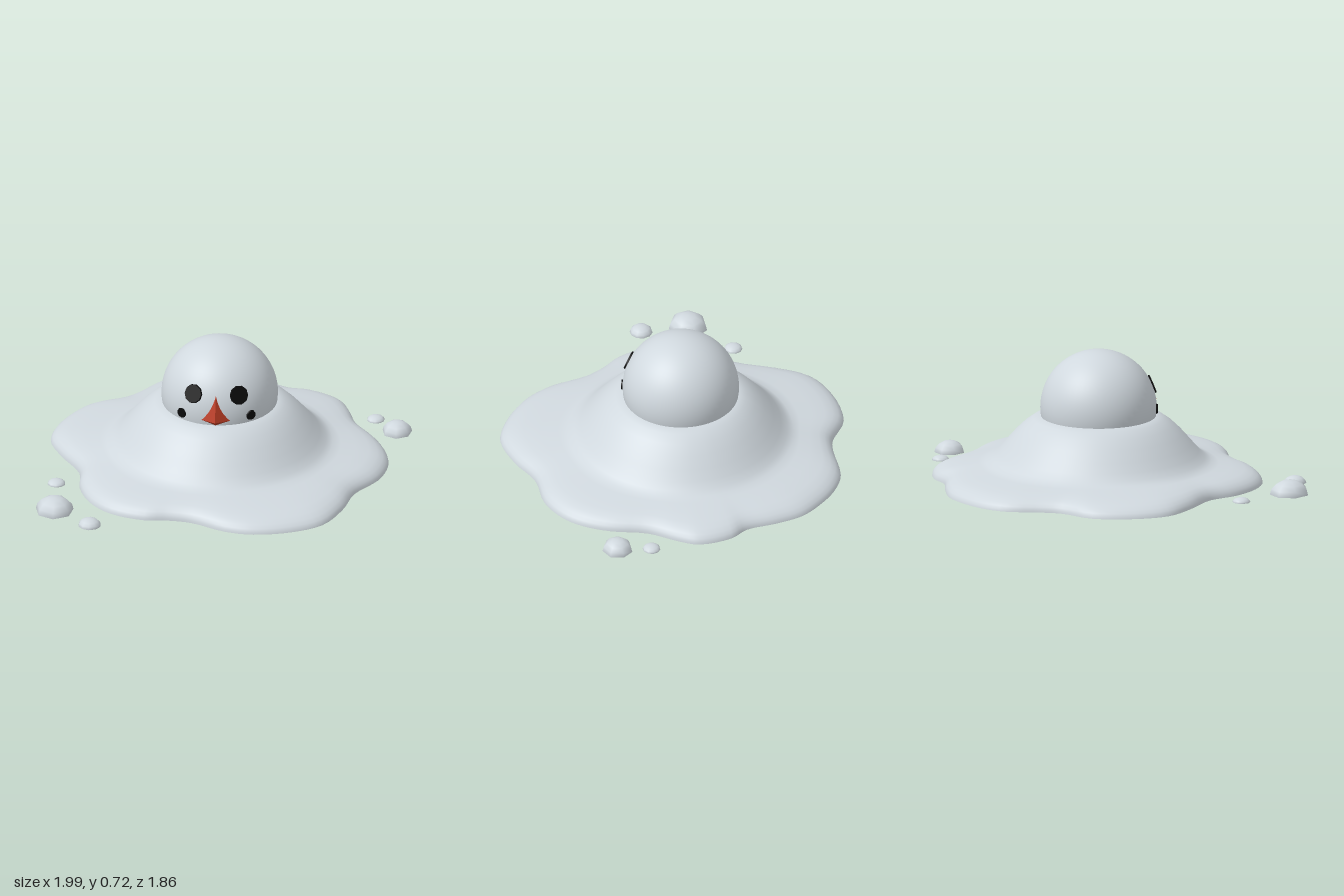
import * as THREE from 'three';

const HEAD = new THREE.Vector3(-0.03, 0.405, 0);
const HEAD_R = 0.32;

// Puddle shoreline as x, z pairs
const SHORE = [
  -0.11, -0.935, 0.02, -0.93, 0.165, -0.87, 0.315, -0.785, 0.43, -0.775, 0.59, -0.68,
  0.645, -0.57, 0.70, -0.40, 0.82, -0.23, 0.885, -0.08, 0.90, 0.05, 0.86, 0.215,
  0.74, 0.39, 0.69, 0.58, 0.59, 0.775, 0.43, 0.87, 0.22, 0.915, 0.06, 0.89,
  -0.13, 0.80, -0.26, 0.78, -0.395, 0.785, -0.58, 0.72, -0.70, 0.60, -0.77, 0.43,
  -0.785, 0.25, -0.90, 0.05, -0.97, -0.13, -0.93, -0.32, -0.795, -0.52, -0.61, -0.60,
  -0.53, -0.68, -0.405, -0.84, -0.27, -0.91,
];
// Round mound rings: radius, height
const MOUND = [[0.27, 0.362], [0.32, 0.358], [0.36, 0.345], [0.41, 0.31], [0.46, 0.262],
  [0.51, 0.205], [0.55, 0.158], [0.585, 0.123], [0.62, 0.102]];
// Puddle rings: blend from the mound foot to the shore, height
const PUDDLE = [[0.15, 0.094], [0.4, 0.085], [0.65, 0.073], [0.8, 0.06], [0.9, 0.044],
  [0.96, 0.028], [0.99, 0.013], [1, 0]];

// Melted body: rings that change from a circle into the wavy shoreline
function bodyGeometry() {
  const pts = [];
  for (let i = 0; i < SHORE.length; i += 2) pts.push(new THREE.Vector3(SHORE[i], 0, SHORE[i + 1]));
  const n = 132;
  const shore = new THREE.CatmullRomCurve3(pts, true).getPoints(n).slice(0, n);
  const foot = MOUND[MOUND.length - 1][0];
  const pos = [], idx = [];
  const addRing = (radiusAt, y) => shore.forEach((p) => {
    const dx = p.x - HEAD.x, dz = p.z - HEAD.z;
    const d = Math.hypot(dx, dz), r = radiusAt(d);
    pos.push(HEAD.x + (dx / d) * r, y, HEAD.z + (dz / d) * r);
  });
  MOUND.forEach(([r, y]) => addRing(() => r, y));
  PUDDLE.forEach(([t, y]) => addRing((d) => foot + (d - foot) * t, y));
  for (let i = 0; i < MOUND.length + PUDDLE.length - 1; i++) {
    for (let j = 0; j < n; j++) {
      const k = (j + 1) % n;
      const a = i * n + j, b = i * n + k, c = a + n, d = b + n;
      idx.push(a, b, c, b, d, c);
    }
  }
  const g = new THREE.BufferGeometry();
  g.setAttribute('position', new THREE.Float32BufferAttribute(pos, 3));
  g.setIndex(idx);
  g.computeVertexNormals();
  return g;
}

// Carrot nose: a four-sided spike with a low tip
function noseGeometry() {
  const top = [0, 0.54, 0.288], left = [0.085, 0.385, 0.304], bottom = [0, 0.355, 0.312];
  const right = [-0.085, 0.385, 0.304], tip = [0, 0.40, 0.375];
  const faces = [top, tip, left, left, tip, bottom, bottom, tip, right, right, tip, top];
  const g = new THREE.BufferGeometry();
  g.setAttribute('position', new THREE.Float32BufferAttribute(faces.flat(), 3));
  g.computeVertexNormals();
  return g;
}

export function createModel() {
  const model = new THREE.Group();
  model.name = 'meltedSnowman';

  const snow = new THREE.MeshStandardMaterial({ color: 0xd0d8de, side: THREE.DoubleSide });
  snow.name = 'snow';
  const coal = new THREE.MeshStandardMaterial({ color: 0x0a0a0a });
  coal.name = 'coal';
  const carrot = new THREE.MeshStandardMaterial({ color: 0xb53a22, side: THREE.DoubleSide });
  carrot.name = 'carrot';

  const add = (name, geometry, material) => {
    const mesh = new THREE.Mesh(geometry, material);
    mesh.name = name;
    model.add(mesh);
    return mesh;
  };

  add('meltedBody', bodyGeometry(), snow);
  add('head', new THREE.SphereGeometry(HEAD_R, 56, 36), snow).position.copy(HEAD);
  add('nose', noseGeometry(), carrot).position.x = HEAD.x;

  // Coal discs lying on the head: name, sideways offset, height offset, radius
  const up = new THREE.Vector3(0, 1, 0);
  for (const [name, dx, dy, r] of [['Eye', 0.126, 0.12, 0.054], ['MouthCoal', 0.19, -0.005, 0.029]]) {
    for (const side of [1, -1]) {
      const normal = new THREE.Vector3(side * dx, dy, Math.sqrt(HEAD_R ** 2 - dx * dx - dy * dy)).normalize();
      const disc = add((side > 0 ? 'left' : 'right') + name, new THREE.CylinderGeometry(r * 0.94, r, 0.009, 10), coal);
      disc.position.copy(HEAD).addScaledVector(normal, HEAD_R + 0.002);
      disc.quaternion.setFromUnitVectors(up, normal);
    }
  }

  // Splashed drops: x, z, width radius, depth radius, height, sides
  const drops = [
    [-0.89, 0.70, 0.106, 0.11, 0.08, 7],
    [0.92, -0.37, 0.083, 0.085, 0.065, 7],
    [-0.685, 0.863, 0.063, 0.063, 0.04, 10],
    [-0.902, 0.38, 0.05, 0.05, 0.025, 10],
    [0.793, -0.507, 0.049, 0.049, 0.025, 10],
  ];
  for (const [x, z, rx, rz, h, sides] of drops) {
    const g = new THREE.SphereGeometry(1, sides, 4, 0, Math.PI * 2, 0, Math.PI / 2);
    g.rotateY(Math.PI / 2).scale(rx, h, rz);
    add('snowDrop', g, snow).position.set(x, 0, z);
  }

  return model;
}
